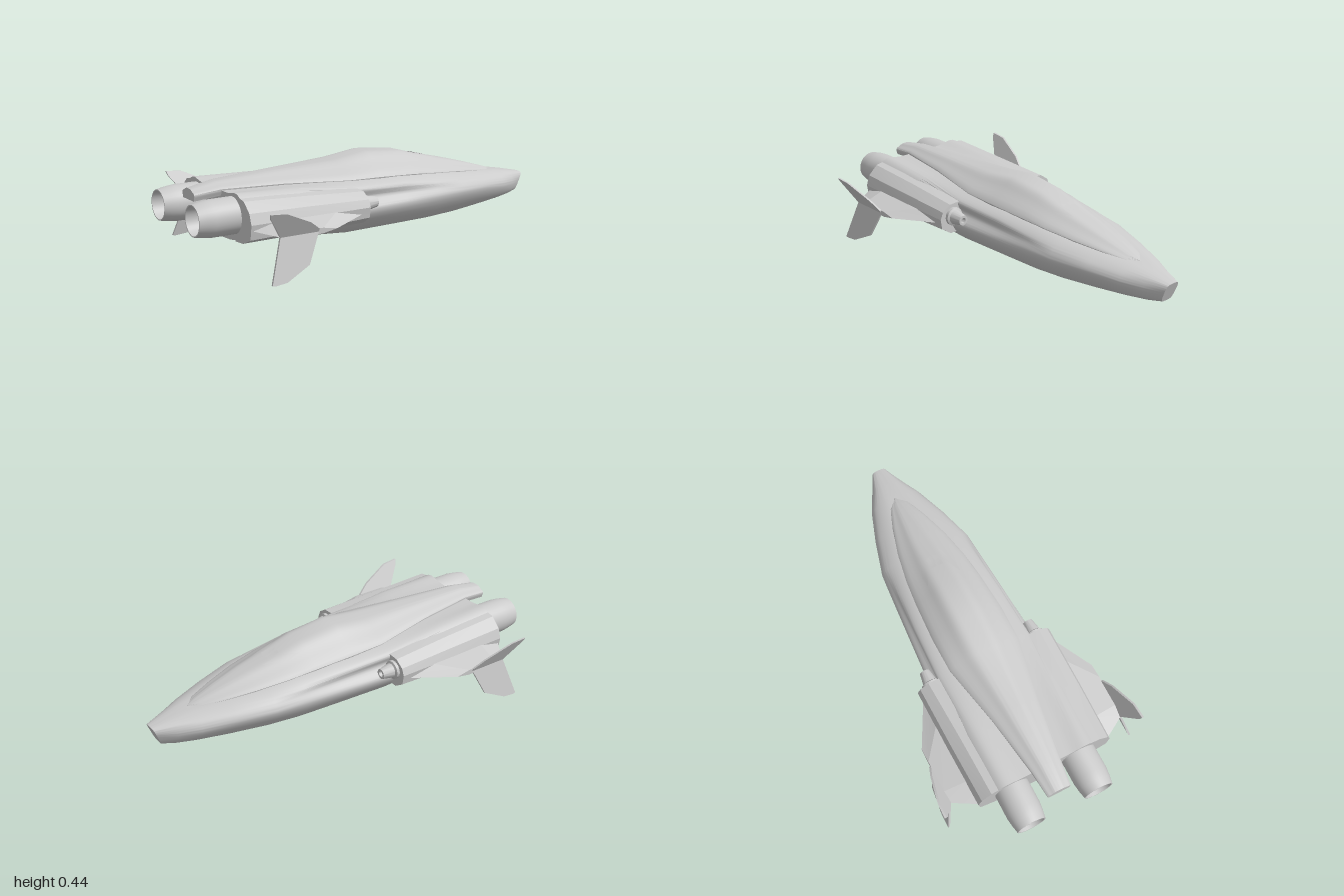
import * as THREE from 'three';
import { toCreasedNormals, mergeVertices } from 'three/addons/utils/BufferGeometryUtils.js';

const V = (x, y, z) => new THREE.Vector3(x, y, z);
const material = new THREE.MeshStandardMaterial({ color: 0xcccccc, side: THREE.DoubleSide });

// Skin a list of closed rings and cap both ends
function loft(rings, crease = 0.6) {
  const pos = [];
  const n = rings[0].length;
  const tri = (...pts) => pts.forEach((p) => pos.push(p.x, p.y, p.z));
  for (let i = 0; i < rings.length - 1; i++) {
    for (let j = 0; j < n; j++) {
      const k = (j + 1) % n;
      const a = rings[i][j], b = rings[i][k], c = rings[i + 1][k], d = rings[i + 1][j];
      tri(a, b, c);
      tri(a, c, d);
    }
  }
  [rings[0], rings[rings.length - 1]].forEach((ring, end) => {
    const mid = ring.reduce((s, p) => s.add(p), V(0, 0, 0)).divideScalar(n);
    for (let j = 0; j < n; j++) {
      const k = (j + 1) % n;
      if (end) tri(mid, ring[j], ring[k]);
      else tri(mid, ring[k], ring[j]);
    }
  });
  const g = new THREE.BufferGeometry();
  g.setAttribute('position', new THREE.Float32BufferAttribute(pos, 3));
  return toCreasedNormals(g, crease);
}

// Reflect a non-indexed geometry across z, restoring its winding
function mirrorZ(geometry) {
  const g = geometry.clone().scale(1, 1, -1);
  for (const attr of Object.values(g.attributes)) {
    const { array, itemSize: s } = attr;
    for (let i = 0; i < array.length; i += 3 * s) {
      for (let c = 0; c < s; c++) {
        [array[i + c], array[i + 2 * s + c]] = [array[i + 2 * s + c], array[i + c]];
      }
    }
  }
  return g;
}

// Close a half section (top centre to bottom centre) into a full ring
const fullRing = (half) => [
  ...half,
  ...half.slice(1, -1).reverse().map((p) => V(p.x, p.y, -p.z)),
];

// Hull station: x, top y, then (z, y) of deck edge, shoulder, side recess, widest point, chine, then bottom y
const hullStations = [
  [-0.8, 0.345, 0.13, 0.345, 0.22, 0.355, 0.28, 0.31, 0.29, 0.24, 0.22, 0.15, 0.125],
  [-0.5, 0.34, 0.14, 0.342, 0.235, 0.34, 0.28, 0.29, 0.29, 0.22, 0.2, 0.115, 0.095],
  [-0.18, 0.33, 0.18, 0.333, 0.25, 0.302, 0.238, 0.255, 0.288, 0.205, 0.18, 0.085, 0.068],
  [0.1, 0.32, 0.177, 0.322, 0.238, 0.29, 0.236, 0.255, 0.268, 0.205, 0.175, 0.088, 0.069],
  [0.3, 0.305, 0.162, 0.307, 0.22, 0.275, 0.232, 0.25, 0.253, 0.205, 0.168, 0.089, 0.072],
  [0.46, 0.288, 0.135, 0.29, 0.2, 0.266, 0.228, 0.242, 0.24, 0.205, 0.15, 0.092, 0.076],
  [0.64, 0.268, 0.09, 0.267, 0.145, 0.25, 0.178, 0.228, 0.19, 0.195, 0.12, 0.1, 0.082],
  [0.8, 0.249, 0.055, 0.246, 0.1, 0.231, 0.126, 0.21, 0.135, 0.18, 0.088, 0.108, 0.09],
  [0.9, 0.232, 0.035, 0.229, 0.064, 0.218, 0.08, 0.198, 0.086, 0.17, 0.058, 0.113, 0.099],
  [0.96, 0.21, 0.018, 0.209, 0.032, 0.204, 0.039, 0.19, 0.039, 0.165, 0.03, 0.118, 0.112],
];

function hullGeometry() {
  return loft(hullStations.map((s, i) => {
    const pts = [V(s[0], s[1], 0)];
    for (let k = 2; k < 12; k += 2) pts.push(V(s[0], s[k + 1], s[k]));
    pts.push(V(s[0], s[12], 0));
    const half = new THREE.CatmullRomCurve3(pts).getPoints(30);
    // The blunt nose face leans forward at the top
    if (i === hullStations.length - 1) half.forEach((p) => { p.x += 0.4 * (p.y - 0.11); });
    return fullRing(half);
  }), 0.7);
}

// Canopy and spine station: x, half width, edge y, top y
const spineStations = [
  [-0.93, 0.06, 0.335, 0.357], [-0.8, 0.075, 0.35, 0.38], [-0.5, 0.12, 0.347, 0.395],
  [-0.18, 0.185, 0.335, 0.41], [0, 0.187, 0.33, 0.435], [0.2, 0.175, 0.318, 0.415],
  [0.34, 0.16, 0.305, 0.375], [0.5, 0.13, 0.288, 0.337], [0.64, 0.09, 0.269, 0.299],
  [0.75, 0.05, 0.253, 0.266], [0.8, 0.004, 0.245, 0.25],
];

function spineCurve(x) {
  let i = 0;
  while (i < spineStations.length - 2 && spineStations[i + 1][0] < x) i++;
  const a = spineStations[i], b = spineStations[i + 1];
  const t = (x - a[0]) / (b[0] - a[0]);
  const [, w, e, top] = a.map((v, k) => v + (b[k] - v) * t);
  const h = top - e;
  return new THREE.CatmullRomCurve3([
    V(x, top, 0), V(x, e + 0.95 * h, 0.33 * w), V(x, e + 0.6 * h, 0.6 * w),
    V(x, e, w), V(x, e - 0.03, 0.9 * w),
  ]);
}

function spineGeometry() {
  return loft(spineStations.map(([x, , e]) =>
    fullRing([...spineCurve(x).getPoints(16), V(x, e - 0.03, 0)])), 0.6);
}

// Window pane laid just above the canopy; corners are [x, position around section]
function paneGeometry([a, b, c, d]) {
  const n = 5, mix = THREE.MathUtils.lerp;
  const g = new THREE.PlaneGeometry(1, 1, n, n);
  const p = g.attributes.position;
  for (let i = 0; i < p.count; i++) {
    const s = p.getX(i) + 0.5, t = p.getY(i) + 0.5;
    const at = (k) => mix(mix(a[k], b[k], s), mix(d[k], c[k], s), t);
    const q = spineCurve(at(0)).getPoint(at(1));
    p.setXYZ(i, q.x, q.y + 0.003, q.z + 0.001);
  }
  g.computeVertexNormals();
  return g.toNonIndexed();
}

// Flat tail blade, sheared outward away from the wing tip
function finGeometry(points, lean) {
  const shape = new THREE.Shape(points.map(([x, y]) => new THREE.Vector2(x, y)));
  const g = new THREE.ExtrudeGeometry(shape, { depth: 0.01, bevelEnabled: false });
  const p = g.attributes.position;
  for (let i = 0; i < p.count; i++) {
    p.setZ(i, 0.455 + p.getZ(i) + Math.abs(p.getY(i) - 0.2) * lean);
  }
  return toCreasedNormals(g, 0.4);
}

// Round part from (radius, distance) pairs, turned to point along x
function turned(profile, direction, y, z) {
  const g = new THREE.LatheGeometry(profile.map(([r, d]) => new THREE.Vector2(r, d)), 32);
  g.rotateZ(-direction * Math.PI / 2).translate(0, y, z);
  return toCreasedNormals(g, 0.5);
}

export function createModel() {
  const model = new THREE.Group();
  const add = (name, geometry) => {
    const mesh = new THREE.Mesh(geometry, material);
    mesh.name = name;
    model.add(mesh);
  };
  const addPair = (name, geometry) => {
    add(name + 'Left', geometry);
    add(name + 'Right', mirrorZ(geometry));
  };

  add('hull', hullGeometry());
  add('canopySpine', spineGeometry());
  addPair('frontWindow', paneGeometry([[0.385, 0.015], [0.375, 0.16], [0.315, 0.14], [0.315, 0.015]]));
  addPair('sideWindow', paneGeometry([[0.42, 0.24], [0.3, 0.46], [0.24, 0.42], [0.33, 0.21]]));

  // Faceted side pods, open face forward around the cannon
  const ring = (x, pts) => pts.map(([z, y]) => V(x, y, z));
  addPair('sidePod', loft([
    ring(-0.8, [[0.2, 0.35], [0.285, 0.335], [0.335, 0.29], [0.352, 0.24], [0.34, 0.17], [0.27, 0.14], [0.2, 0.135]]),
    ring(-0.5, [[0.2, 0.335], [0.29, 0.322], [0.342, 0.285], [0.358, 0.24], [0.352, 0.18], [0.28, 0.145], [0.2, 0.14]]),
    ring(-0.18, [[0.22, 0.31], [0.3, 0.305], [0.345, 0.275], [0.36, 0.24], [0.352, 0.19], [0.3, 0.155], [0.22, 0.155]]),
  ], 0.25));

  // Stub wings tapering to the fins
  const wing = (z, x0, x1, low, high) => {
    const at = (f) => x0 + (x1 - x0) * f;
    const mid = (low + high) / 2;
    return [V(at(0.25), high, z), V(at(0.8), high, z), V(at(1), mid, z),
      V(at(0.8), low, z), V(at(0.25), low, z), V(at(0), mid, z)];
  };
  addPair('wing', loft([wing(0.33, -0.18, -0.8, 0.178, 0.25), wing(0.465, -0.43, -0.72, 0.188, 0.214)], 0.2));

  addPair('upperFin', finGeometry(
    [[-0.72, 0.2], [-0.525, 0.2], [-0.525, 0.215], [-0.58, 0.255], [-0.72, 0.318], [-0.8, 0.325], [-0.795, 0.305]], 0.5));
  addPair('lowerFin', finGeometry(
    [[-0.72, 0.2], [-0.785, 0.003], [-0.77, 0], [-0.71, 0.006], [-0.59, 0.065], [-0.525, 0.2]], 0.21));

  // Hollow exhausts and forward cannons
  addPair('engine', turned(
    [[0.086, 0.76], [0.086, 0.92], [0.081, 0.96], [0.073, 1], [0.068, 1], [0.06, 0.85], [0, 0.85]], -1, 0.252, 0.178));
  addPair('cannon', turned(
    [[0.046, -0.25], [0.046, -0.165], [0.036, -0.16], [0.025, -0.1], [0.014, -0.1], [0.014, -0.13], [0, -0.13]], 1, 0.242, 0.283));

  return model;
}
